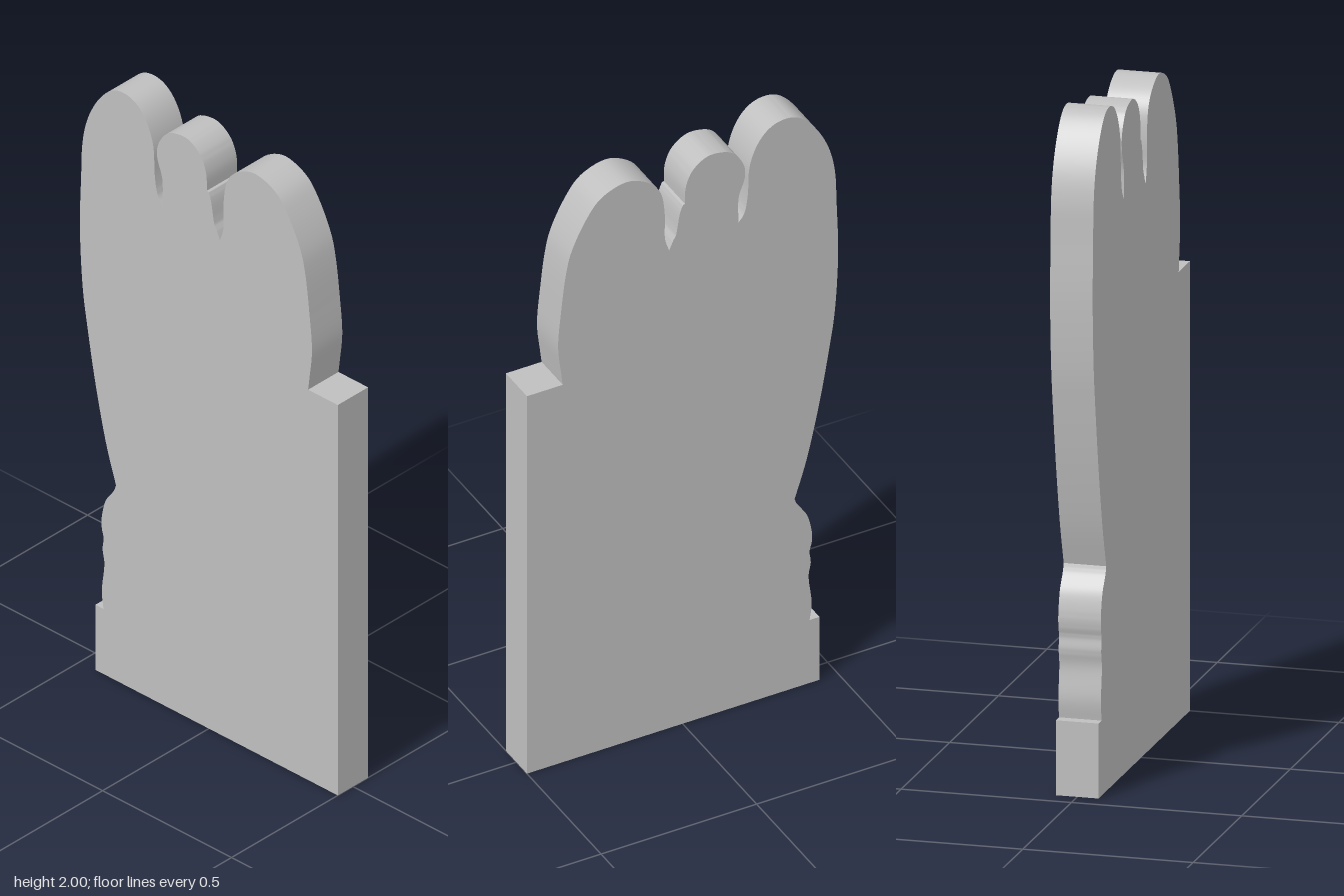
import * as THREE from 'three';
import { toCreasedNormals } from 'three/addons/utils/BufferGeometryUtils.js';

const DEPTH = 0.125;

// Smooth stretches of the outline, anticlockwise; they meet at sharp corners.
const rightLobe = [
  [0.385, 1.32], [0.39, 1.36], [0.4, 1.46], [0.39, 1.58], [0.375, 1.7], [0.355, 1.78],
  [0.31, 1.87], [0.26, 1.93], [0.18, 1.957], [0.11, 1.93], [0.07, 1.88], [0.057, 1.8],
  [0.057, 1.72], [0.043, 1.67],
];
const rightNotch = [[0.043, 1.67], [0.03, 1.7], [0.02, 1.72], [0.01, 1.78], [0, 1.81], [-0.008, 1.815]];
const middleLobe = [
  [-0.008, 1.815], [-0.01, 1.87], [-0.03, 1.92], [-0.07, 1.952], [-0.11, 1.957],
  [-0.16, 1.94], [-0.195, 1.89], [-0.2, 1.84], [-0.18, 1.775], [-0.18, 1.69],
];
const leftLobe = [
  [-0.18, 1.69], [-0.2, 1.72], [-0.21, 1.78], [-0.215, 1.87], [-0.24, 1.94], [-0.28, 1.985],
  [-0.33, 2], [-0.38, 1.985], [-0.43, 1.93], [-0.47, 1.85], [-0.49, 1.76], [-0.495, 1.65],
  [-0.5, 1.47], [-0.49, 1.28], [-0.47, 1.14], [-0.44, 0.97], [-0.4, 0.79], [-0.36, 0.66],
];
const lowerEdge = [
  [-0.36, 0.66], [-0.37, 0.635], [-0.4, 0.59], [-0.415, 0.53], [-0.415, 0.49], [-0.408, 0.46],
  [-0.412, 0.42], [-0.405, 0.37], [-0.415, 0.28], [-0.408, 0.22],
];

// Samples one stretch as a smooth curve.
function smooth(points) {
  const curve = new THREE.SplineCurve(points.map(([x, y]) => new THREE.Vector2(x, y)));
  return curve.getPoints((points.length - 1) * 5).slice(1);
}

export function createModel() {
  const group = new THREE.Group();
  group.name = 'lobedPanel';
  const grey = new THREE.MeshStandardMaterial({ color: 0xbfbfbf });
  grey.name = 'grey';

  // Square base and right shoulder, then the lobed top and the wavy left edge
  const outline = [
    [-0.44, 0], [0.5, 0], [0.5, 1.32], [0.385, 1.32],
  ].map(([x, y]) => new THREE.Vector2(x, y));
  for (const stretch of [rightLobe, rightNotch, middleLobe, leftLobe, lowerEdge]) {
    outline.push(...smooth(stretch));
  }
  outline.push(new THREE.Vector2(-0.44, 0.22));

  // One flat slab, with smooth walls and crisp rims
  const slab = new THREE.ExtrudeGeometry(new THREE.Shape(outline), { depth: DEPTH, bevelEnabled: false });
  slab.translate(0, 0, -DEPTH / 2);
  slab.clearGroups();
  const panel = new THREE.Mesh(toCreasedNormals(slab, Math.PI / 6), grey);
  panel.name = 'panel';
  group.add(panel);
  return group;
}
